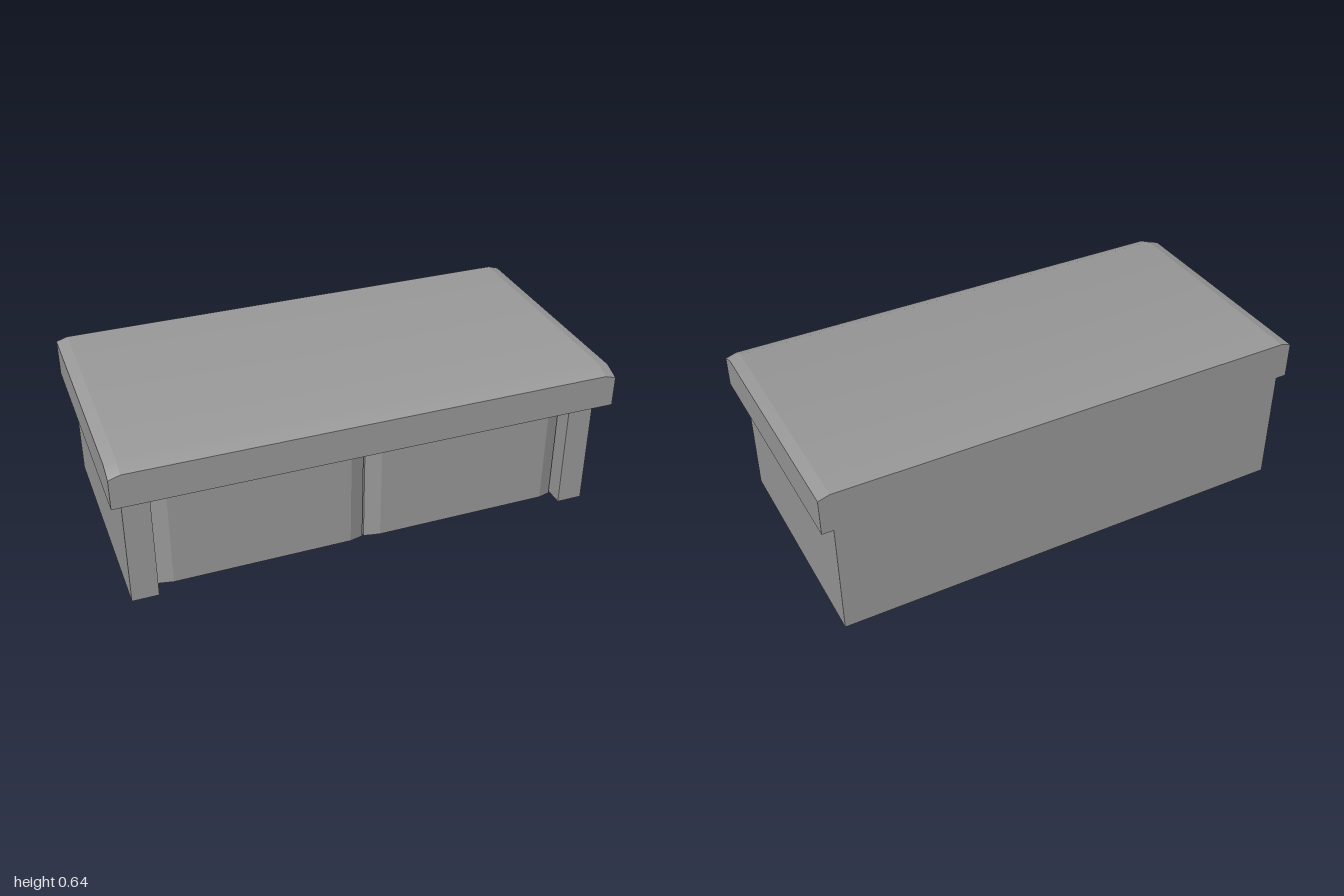
import * as THREE from 'three';

const material = new THREE.MeshStandardMaterial({ color: 0x989898 });
const BACK = -0.505, FRONT = 0.505, BODY_FRONT = 0.44;
const BODY_TOP = 0.48, TOP = 0.643;

function addMesh(group, name, geometry) {
  const mesh = new THREE.Mesh(geometry, material);
  mesh.name = name;
  group.add(mesh);
  return mesh;
}

// Move every vertex by a rule and give each face its own flat normal
function reshape(box, rule) {
  const geometry = box.toNonIndexed();
  const pos = geometry.attributes.position;
  const v = new THREE.Vector3();
  for (let i = 0; i < pos.count; i++) {
    rule(v.fromBufferAttribute(pos, i));
    pos.setXYZ(i, v.x, v.y, v.z);
  }
  geometry.computeVertexNormals();
  return geometry;
}

// U-shaped carcass: back wall and two side walls, open below and in front
function carcassGeometry() {
  const outer = 0.955, inner = 0.85, innerBack = -0.395;
  const outline = [
    [-outer, BACK], [-outer, BODY_FRONT], [-inner, BODY_FRONT], [-inner, innerBack],
    [inner, innerBack], [inner, BODY_FRONT], [outer, BODY_FRONT], [outer, BACK],
  ].map(([x, z]) => new THREE.Vector2(x, -z));
  const geometry = new THREE.ExtrudeGeometry(new THREE.Shape(outline), { depth: BODY_TOP, bevelEnabled: false });
  return geometry.rotateX(-Math.PI / 2);
}

// Worktop: overhanging slab whose upper side and front edges slope down
function worktopGeometry() {
  const h = TOP - BODY_TOP, sideDrop = 0.014, frontDrop = 0.026;
  const geometry = reshape(new THREE.BoxGeometry(2, h, FRONT - BACK, 3, 1, 2), (v) => {
    const atSide = Math.abs(v.x) > 0.9, atFront = v.z > 0.4, atMiddle = Math.abs(v.z) < 0.1;
    if (!atSide) v.x = Math.sign(v.x) * 0.955;
    if (atMiddle) v.z = BODY_FRONT;
    if (v.y > 0) v.y -= (atSide ? sideDrop : 0) + (atFront ? frontDrop : 0);
    v.y += BODY_TOP + h / 2;
  });
  // Round the shading over the front slope, leaving the side slopes crisp
  const { position, normal } = geometry.attributes;
  const tilt = Math.atan2(frontDrop, FRONT - BODY_FRONT) / 2;
  const n = new THREE.Vector3();
  for (let i = 0; i < position.count; i++) {
    n.fromBufferAttribute(normal, i);
    if (n.y > 0.5 && Math.abs(position.getZ(i) - BODY_FRONT) < 0.001) {
      n.set(n.x, Math.cos(tilt), Math.sin(tilt)).normalize();
      normal.setXYZ(i, n.x, n.y, n.z);
    }
  }
  return geometry;
}

// Door: thick panel with a mitred bevel around its front
function doorGeometry(width) {
  const back = 0.17, edge = 0.372, face = 0.4, insetX = 0.06, insetY = 0.013;
  return reshape(new THREE.BoxGeometry(width, BODY_TOP, 2, 1, 1, 2), (v) => {
    if (v.z > 0.5) {
      v.x -= Math.sign(v.x) * insetX;
      v.y -= Math.sign(v.y) * insetY;
      v.z = face;
    } else {
      v.z = v.z < -0.5 ? back : edge;
    }
    v.y += BODY_TOP / 2;
  });
}

export function createModel() {
  const group = new THREE.Group();
  group.name = 'cabinet';
  addMesh(group, 'carcass', carcassGeometry());
  addMesh(group, 'worktop', worktopGeometry());

  // Pair of doors meeting at the centre
  const width = 0.84, gap = 0.003;
  for (const [name, side] of [['leftDoor', 1], ['rightDoor', -1]]) {
    addMesh(group, name, doorGeometry(width)).position.x = side * (gap + width / 2);
  }
  return group;
}
